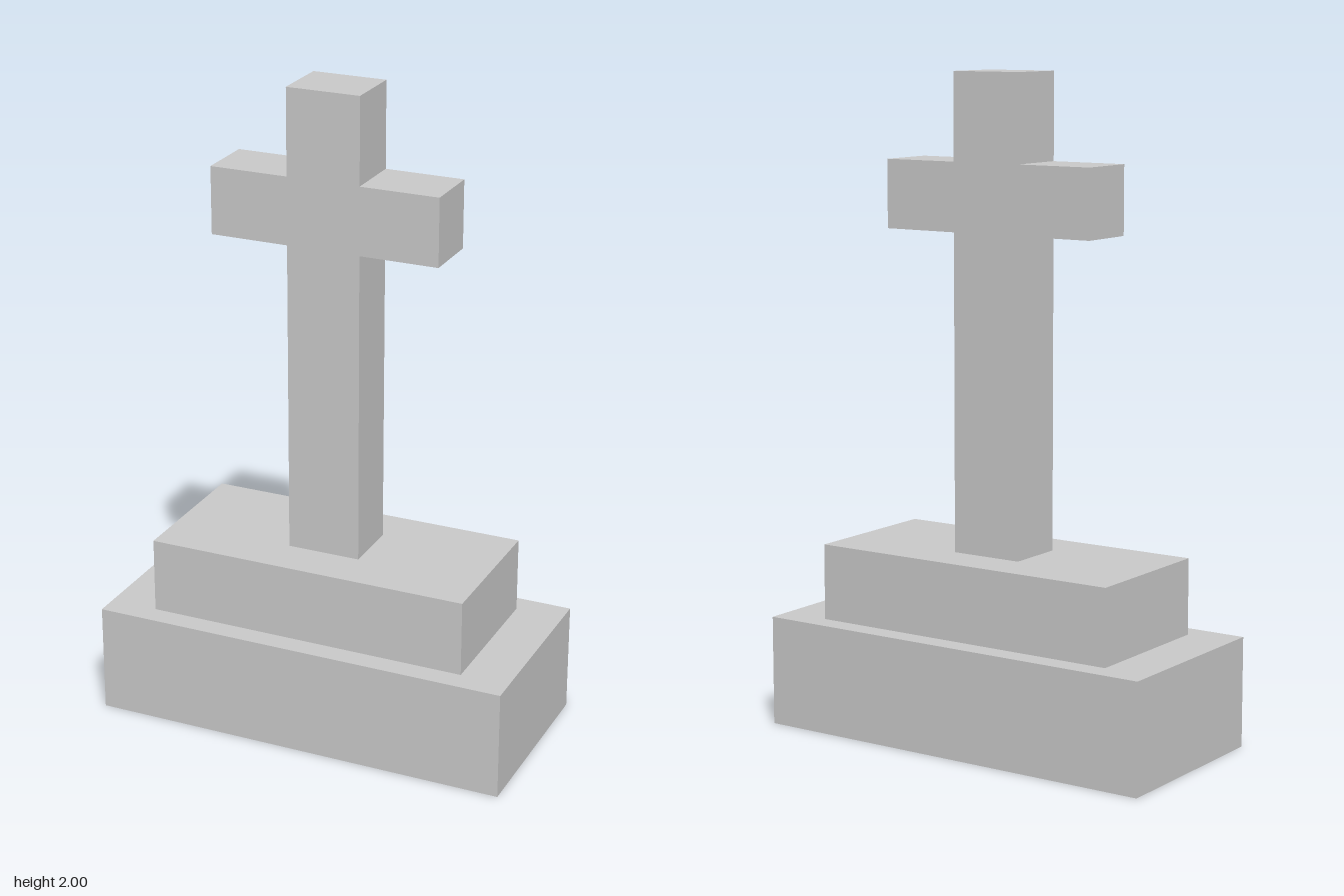
import * as THREE from 'three';

const stone = new THREE.MeshStandardMaterial({ color: 0xcccccc, flatShading: true });

// Rectangular block standing between two heights
function block(name, width, depth, y0, y1) {
  const mesh = new THREE.Mesh(new THREE.BoxGeometry(width, y1 - y0, depth), stone);
  mesh.position.y = (y0 + y1) / 2;
  mesh.name = name;
  return mesh;
}

export function createModel() {
  const group = new THREE.Group();
  group.name = 'crossMonument';

  // Stepped plinth
  const stepTop = 0.57;
  group.add(block('basePlinth', 1.31, 0.6, 0, 0.337));
  group.add(block('upperStep', 1.01, 0.462, 0.337, stepTop));

  // Cross cut as one outline: right half, then mirrored
  const post = 0.114, arm = 0.357, armLow = 1.53, armHigh = 1.737, depth = 0.185;
  const half = [[post, stepTop], [post, armLow], [arm, armLow], [arm, armHigh], [post, armHigh], [post, 2]];
  const mirrored = half.map(([x, y]) => [-x, y]).reverse();
  const outline = new THREE.Shape([...half, ...mirrored].map(([x, y]) => new THREE.Vector2(x, y)));
  const geometry = new THREE.ExtrudeGeometry(outline, { depth, bevelEnabled: false });
  geometry.translate(0, 0, -depth / 2 - 0.002);
  const cross = new THREE.Mesh(geometry, stone);
  cross.name = 'cross';
  group.add(cross);

  return group;
}
